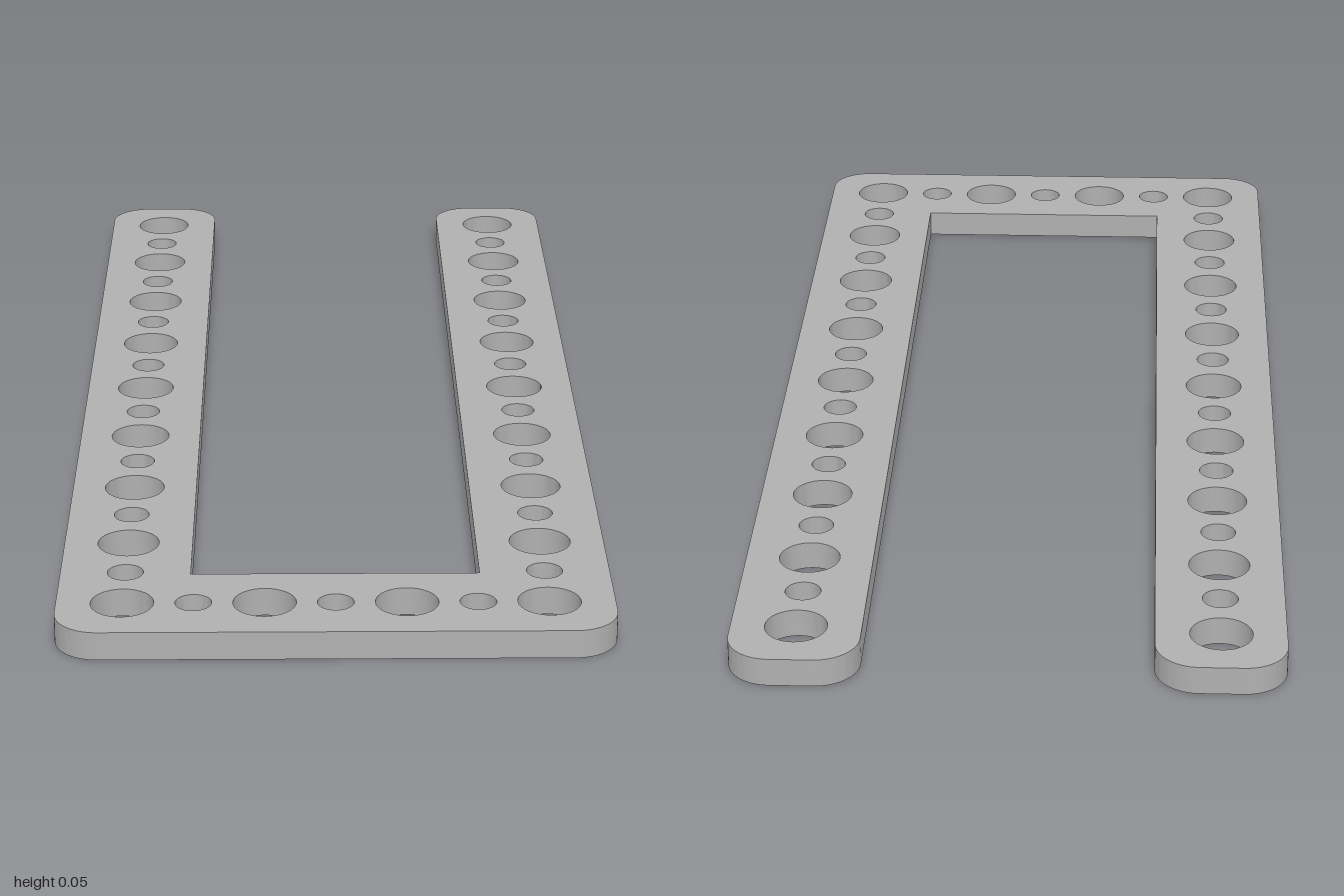
import * as THREE from 'three';
import { toCreasedNormals } from 'three/addons/utils/BufferGeometryUtils.js';

const HALF_WIDTH = 0.44, HALF_LENGTH = 1, THICKNESS = 0.047;
const ARM = 0.209;      // width of each arm and of the cross bar
const CORNER = 0.07;    // outer corner radius
const PITCH = 0.2238;   // spacing of the large holes
const LARGE = 0.05, SMALL = 0.029;

// Outline in plan, with shape y = -z
function frameOutline() {
  const w = HALF_WIDTH, l = HALF_LENGTH, r = CORNER, inner = w - ARM, q = Math.PI / 2;
  const s = new THREE.Shape();
  s.moveTo(-w + r, -l);
  s.absarc(w - r, -l + r, r, -q, 0);
  s.absarc(w - r, l - r, r, 0, q);
  s.absarc(inner + r, l - r, r, q, 2 * q);
  s.lineTo(inner, -l + ARM);
  s.lineTo(-inner, -l + ARM);
  s.absarc(-inner - r, l - r, r, 0, q);
  s.absarc(-w + r, l - r, r, q, 2 * q);
  s.absarc(-w + r, -l + r, r, 2 * q, 3 * q);
  return s;
}

export function createModel() {
  const grey = new THREE.MeshStandardMaterial({ color: 0xb0b0b0 });
  grey.name = 'light grey';

  const shape = frameOutline();
  const punch = (x, y, radius) => {
    const hole = new THREE.Path();
    hole.absarc(x, y, radius, 0, Math.PI * 2, true);
    shape.holes.push(hole);
  };

  // Alternating large and small holes along both arms
  for (const side of [-1, 1]) {
    for (let i = 0; i <= 16; i++) {
      punch(side * 1.5 * PITCH, (i / 2 - 4) * PITCH, i % 2 ? SMALL : LARGE);
    }
  }
  // Holes along the cross bar between the corner holes
  for (let i = 1; i <= 5; i++) {
    punch((i / 2 - 1.5) * PITCH, -4 * PITCH, i % 2 ? SMALL : LARGE);
  }

  const plate = new THREE.ExtrudeGeometry(shape, {
    depth: THICKNESS, bevelEnabled: false, curveSegments: 16,
  });
  plate.rotateX(-Math.PI / 2);

  const frame = new THREE.Mesh(toCreasedNormals(plate, Math.PI / 5), grey);
  frame.name = 'perforatedFrame';

  const model = new THREE.Group();
  model.name = 'uShapedBracket';
  model.add(frame);
  return model;
}
